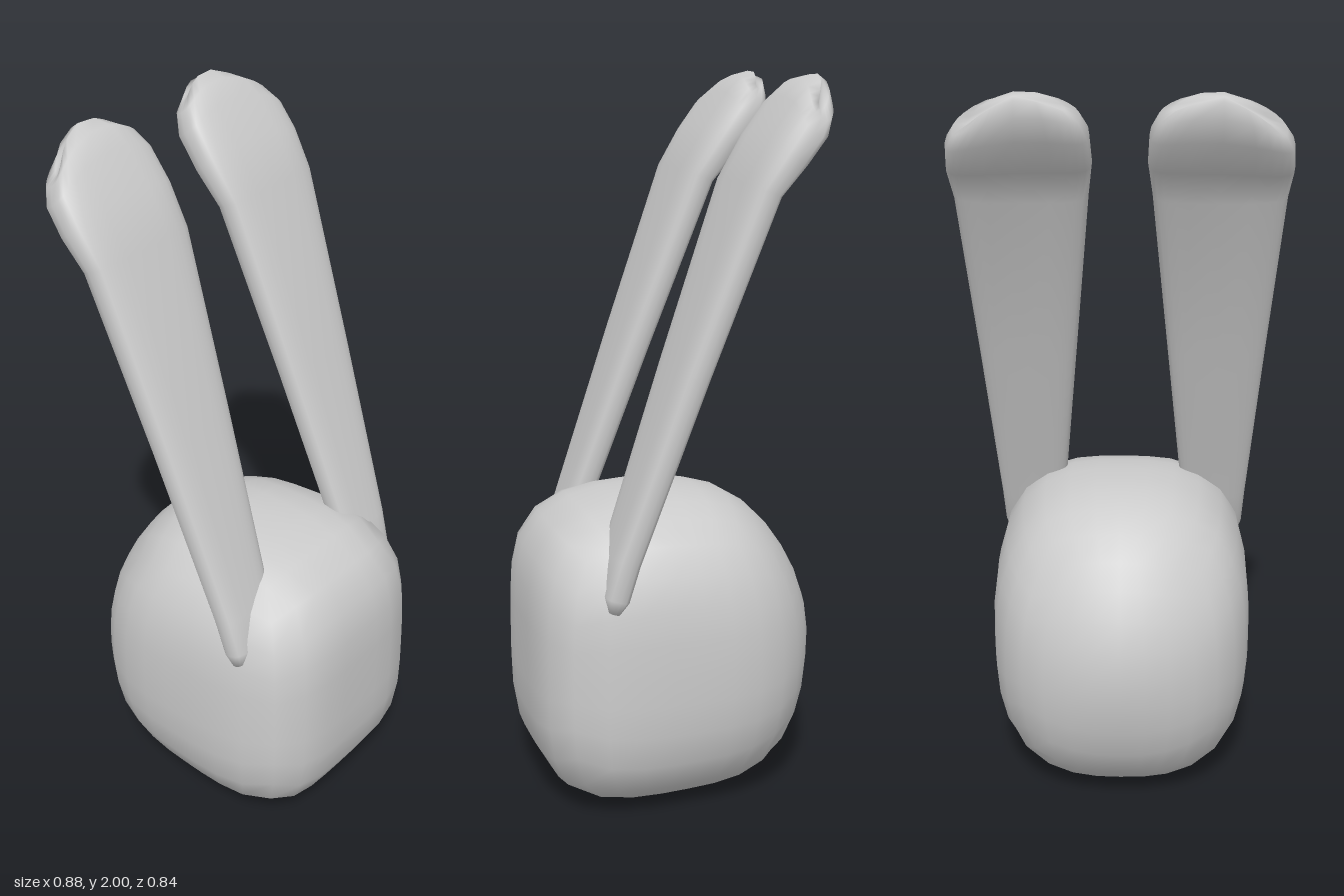
import * as THREE from 'three';
import { mergeVertices } from 'three/addons/utils/BufferGeometryUtils.js';

const material = new THREE.MeshStandardMaterial({ color: 0xcccccc });

// Rounded block: boxy at the front and bottom, rounder at the back and top
function headGeometry() {
  let geo = new THREE.BoxGeometry(2, 2, 2, 8, 8, 8);
  geo.deleteAttribute('uv');
  geo.deleteAttribute('normal');
  geo = mergeVertices(geo);
  const pos = geo.attributes.position;
  const d = new THREE.Vector3();
  const spread = (a) => Math.tan(a * Math.PI / 4);
  for (let i = 0; i < pos.count; i++) {
    d.set(spread(pos.getX(i)), spread(pos.getY(i)), spread(pos.getZ(i))).normalize();
    const p = 2.95 + d.z - 0.4 * d.y;
    const sum = Math.abs(d.x) ** p + Math.abs(d.y) ** p + Math.abs(d.z) ** p;
    d.multiplyScalar(sum ** (-1 / p));
    pos.setXYZ(i, d.x * 0.367, 0.442 + d.y * 0.433, d.z * 0.42);
  }
  geo.computeVertexNormals();
  return geo;
}

// Ear stations: y, z, half thickness, inner x, outer x, crown
const stations = [
  [0.625, 0.243, 0.02, 0.20, 0.345, 0],
  [0.66, 0.232, 0.037, 0.178, 0.354, 0],
  [0.76, 0.203, 0.038, 0.172, 0.36, 0],
  [1.25, 0.027, 0.042, 0.126, 0.395, 0],
  [1.72, -0.148, 0.046, 0.082, 0.43, 0],
  [1.81, -0.212, 0.055, 0.07, 0.44, 0.02],
  [1.88, -0.265, 0.058, 0.074, 0.434, 0.045],
  [1.92, -0.292, 0.044, 0.095, 0.412, 0.06],
  [1.94, -0.307, 0.016, 0.13, 0.375, 0.07],
];

// Flat paddle lofted through rounded-rectangle sections
function earGeometry(side) {
  const SEG = 24;
  const verts = [], index = [];
  const n = stations.length;
  const round = (v) => Math.sign(v) * Math.abs(v) ** 0.6;
  const addPoint = (i, u, v) => {
    const [y, z, t, xin, xout, crown] = stations[i];
    const a = stations[Math.max(i - 1, 0)], b = stations[Math.min(i + 1, n - 1)];
    const len = Math.hypot(b[0] - a[0], b[1] - a[1]);
    const ty = (b[0] - a[0]) / len, tz = (b[1] - a[1]) / len;
    const lift = crown * (1 - u * u - 0.35 * u * side);
    verts.push(
      side * (xin + xout) / 2 + u * (xout - xin) / 2,
      y + ty * lift - tz * v * t,
      z + tz * lift + ty * v * t,
    );
  };
  for (let i = 0; i < n; i++) {
    for (let j = 0; j < SEG; j++) {
      const ang = j / SEG * Math.PI * 2;
      addPoint(i, round(Math.cos(ang)), round(Math.sin(ang)));
    }
  }
  addPoint(0, 0, 0);
  addPoint(n - 1, 0, 0);
  for (let j = 0; j < SEG; j++) {
    const k = (j + 1) % SEG;
    for (let i = 0; i < n - 1; i++) {
      const a = i * SEG + j, b = i * SEG + k;
      index.push(a, a + SEG, b, b, a + SEG, b + SEG);
    }
    // End caps
    index.push(n * SEG, j, k);
    index.push(n * SEG + 1, (n - 1) * SEG + k, (n - 1) * SEG + j);
  }
  const geo = new THREE.BufferGeometry();
  geo.setAttribute('position', new THREE.Float32BufferAttribute(verts, 3));
  geo.setIndex(index);
  geo.computeVertexNormals();
  return geo;
}

export function createModel() {
  const model = new THREE.Group();
  model.name = 'rabbitHead';
  const add = (name, geo) => {
    const mesh = new THREE.Mesh(geo, material);
    mesh.name = name;
    model.add(mesh);
  };
  add('head', headGeometry());
  add('leftEar', earGeometry(1));
  add('rightEar', earGeometry(-1));
  return model;
}
